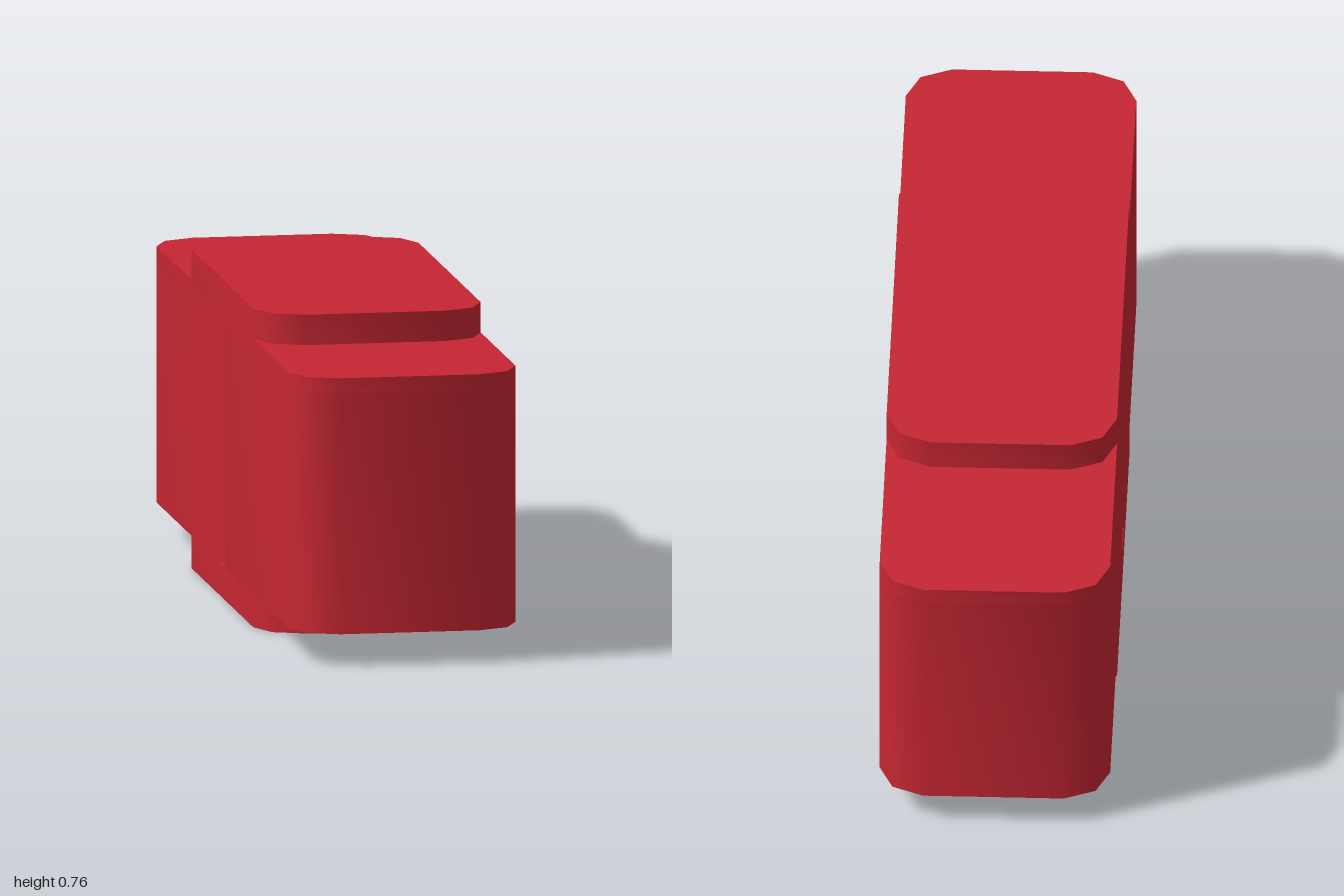
import * as THREE from 'three';
import { toCreasedNormals } from 'three/addons/utils/BufferGeometryUtils.js';

const material = new THREE.MeshStandardMaterial({ color: 0xc62632 });
const W = 0.27;

// Footprint with bevelled corners; optional V notch in the middle of each long side
function footprint(halfLength, notched) {
  const L = halfLength;
  const side = [[W, L - 0.105], [0.238, L - 0.032], [0.165, L]];
  const notch = notched ? [[W, -0.045], [W - 0.03, 0], [W, 0.045]] : [];
  const half = [
    ...side.map(([x, z]) => [x, -z]).reverse(),
    ...notch,
    ...side,
  ];
  const outline = [...half, ...half.map(([x, z]) => [-x, -z])];
  return new THREE.Shape(outline.map(([x, z]) => new THREE.Vector2(x, z)));
}

// Upright slab between two heights
function slab(name, halfLength, y0, y1, notched = false) {
  const geometry = new THREE.ExtrudeGeometry(footprint(halfLength, notched), {
    depth: y1 - y0, bevelEnabled: false,
  });
  geometry.rotateX(-Math.PI / 2);
  geometry.translate(0, y0, 0);
  const mesh = new THREE.Mesh(toCreasedNormals(geometry, 0.9), material);
  mesh.name = name;
  return mesh;
}

export function createModel() {
  const group = new THREE.Group();
  group.name = 'block';

  // Long body with side grooves, closed above the grooves
  group.add(slab('body', 1, 0.077, 0.65, true));
  group.add(slab('bodyTop', 1, 0.65, 0.685));

  // Shorter raised pads in the middle
  group.add(slab('topPad', 0.527, 0.685, 0.757));
  group.add(slab('bottomPad', 0.527, 0, 0.077));

  // Shallow dished feet under both ends
  const profile = [[0, 0.075], [0.11, 0.072], [0.145, 0.061], [0.155, 0.061], [0.157, 0.08]]
    .map(([r, y]) => new THREE.Vector2(r, y));
  const footMaterial = material.clone();
  footMaterial.side = THREE.DoubleSide;
  const footGeometry = toCreasedNormals(new THREE.LatheGeometry(profile, 16), 0.6);
  for (const s of [-1, 1]) {
    const foot = new THREE.Mesh(footGeometry, footMaterial);
    foot.name = s > 0 ? 'frontFoot' : 'backFoot';
    foot.position.z = s * 0.755;
    group.add(foot);
  }
  return group;
}
